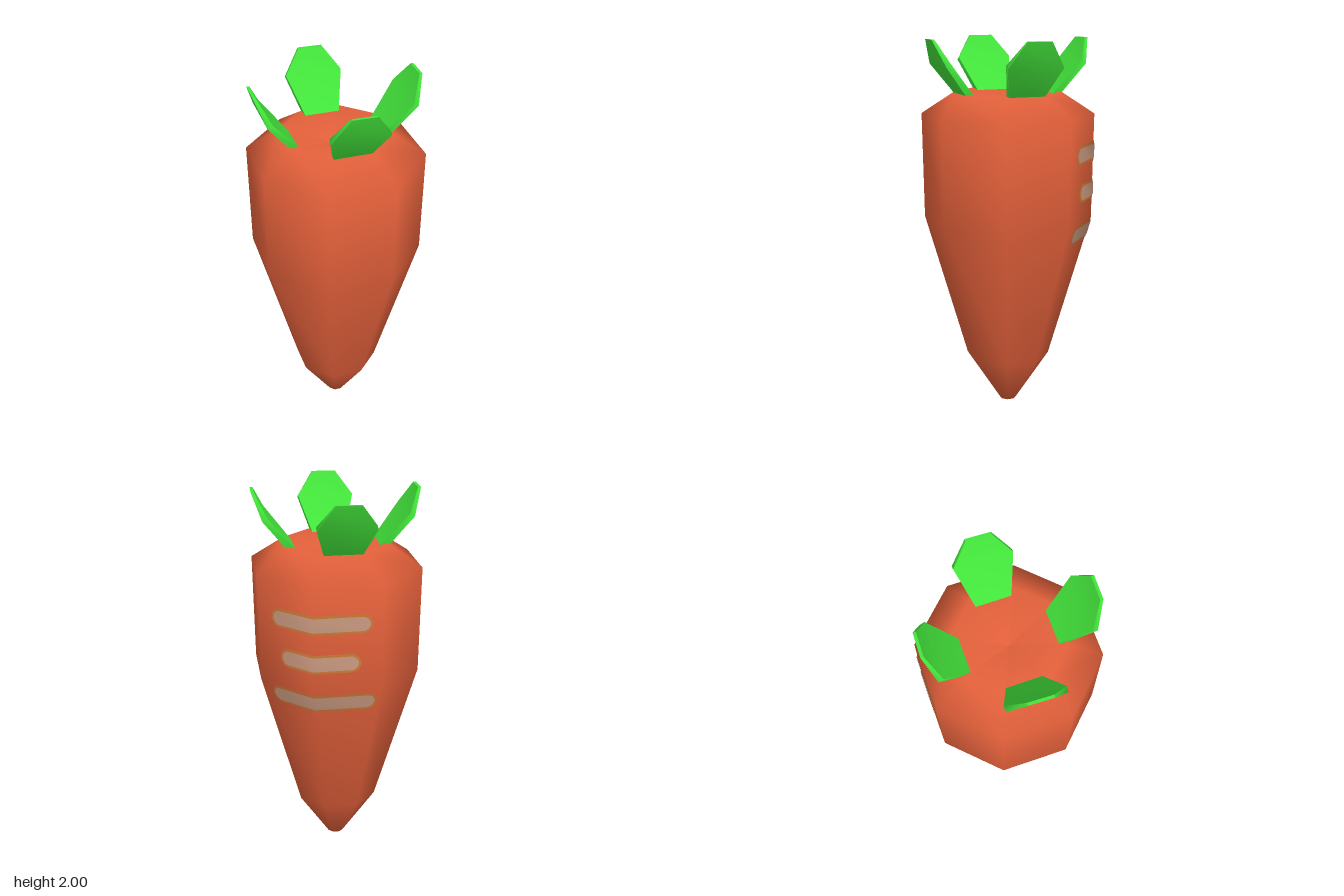
import * as THREE from 'three';
import { toCreasedNormals } from 'three/addons/utils/BufferGeometryUtils.js';

const mat = (name, color, side = THREE.FrontSide) =>
  Object.assign(new THREE.MeshStandardMaterial({ color, side }), { name });

function buildGeometry(positions, index) {
  const g = new THREE.BufferGeometry();
  g.setAttribute('position', new THREE.Float32BufferAttribute(positions, 3));
  g.setIndex(index);
  g.computeVertexNormals();
  return g;
}

// Thick cupped leaf: three rows, each a loop of inner left/right, outer right/left
function leafGeometry() {
  const rows = [
    { y: 1.695, l: [0, 0.22], r: [0.155, 0.155], t: 0.03, drop: 0.02 },
    { y: 1.885, l: [0, 0.385], r: [0.275, 0.275], t: 0.025, drop: 0.015 },
    { y: 2.0, l: [0.1, 0.405], r: [0.218, 0.36], t: 0.015, drop: 0 },
  ];
  const out = [Math.sin(Math.PI / 8), Math.cos(Math.PI / 8)];
  const pos = [], idx = [];
  for (const { y, l, r, t, drop } of rows) {
    pos.push(l[0], y, l[1], r[0], y, r[1]);
    for (const p of [r, l]) pos.push(p[0] + out[0] * t, y - drop, p[1] + out[1] * t);
  }
  for (let i = 0; i < 2; i++) {
    for (let j = 0; j < 4; j++) {
      const k = (j + 1) % 4, a = i * 4, b = a + 4;
      idx.push(a + j, b + j, b + k, a + j, b + k, a + k);
    }
  }
  idx.push(0, 1, 2, 0, 2, 3, 8, 10, 9, 8, 11, 10);
  return toCreasedNormals(buildGeometry(pos, idx), 0.9);
}

// Point on the eight-sided body; s runs from the back edge, one unit per face
function onBody(s, y, lift) {
  const r = (y < 1.05 ? 0.225 + (y - 0.27) * 0.2885 : 0.45 + (y - 1.05) * 0.0125) + lift;
  const t = Math.abs(s), c = Math.SQRT1_2;
  return [Math.sign(s) * t * c * r, y, -r * (1 - t + t * c)];
}

// Round-ended band wrapped around the back edge of the body
function bandGeometry(from, to, y, half, lift) {
  const cap = half / 0.345, steps = 5, cols = [];
  for (let i = 0; i <= steps; i++) {
    const a = (i / steps) * Math.PI / 2;
    const d = cap * (1 - Math.cos(a)), h = half * Math.max(Math.sin(a), 0.3);
    cols.push([from + d, h], [to - d, h]);
  }
  cols.push([0, half]);
  cols.sort((p, q) => p[0] - q[0]);
  const pos = [], idx = [];
  cols.forEach(([s, h], i) => {
    pos.push(...onBody(s, y - h, lift), ...onBody(s, y + h, lift));
    if (i) {
      const a = i * 2 - 2;
      idx.push(a, a + 1, a + 3, a, a + 3, a + 2);
    }
  });
  return buildGeometry(pos, idx);
}

export function createModel() {
  const model = new THREE.Group();
  model.name = 'carrot';
  const orange = mat('carrot orange', 0xe5613b);
  const green = mat('leaf green', 0x43e53b);
  const amber = mat('band edge amber', 0xcc7a38, THREE.DoubleSide);
  const tan = mat('band tan', 0xcb9a80, THREE.DoubleSide);
  const add = (parent, name, geometry, material) => {
    const mesh = new THREE.Mesh(geometry, material);
    mesh.name = name;
    parent.add(mesh);
    return mesh;
  };

  // Root with a shallow hollow on top
  const profile = [[0, 0], [0.045, 0], [0.225, 0.27], [0.45, 1.05],
    [0.457, 1.61], [0.28, 1.725], [0, 1.66]];
  add(model, 'root', new THREE.LatheGeometry(
    profile.map(([x, y]) => new THREE.Vector2(x, y)), 8), orange);

  // Four leaves around the crown
  const leaf = leafGeometry();
  for (let i = 0; i < 4; i++) add(model, 'leaf', leaf, green).rotation.y = i * Math.PI / 2;

  // Three pale bands on the back, each with a darker edge
  for (const [from, to, y] of [[-0.85, 0.74, 1.415], [-0.69, 0.59, 1.21], [-0.95, 0.8, 0.99]]) {
    const band = new THREE.Group();
    band.name = 'band';
    model.add(band);
    add(band, 'bandEdge', bandGeometry(from, to, y, 0.05, 0.003), amber);
    add(band, 'bandFill', bandGeometry(from + 0.04, to - 0.04, y, 0.037, 0.006), tan);
  }
  return model;
}
